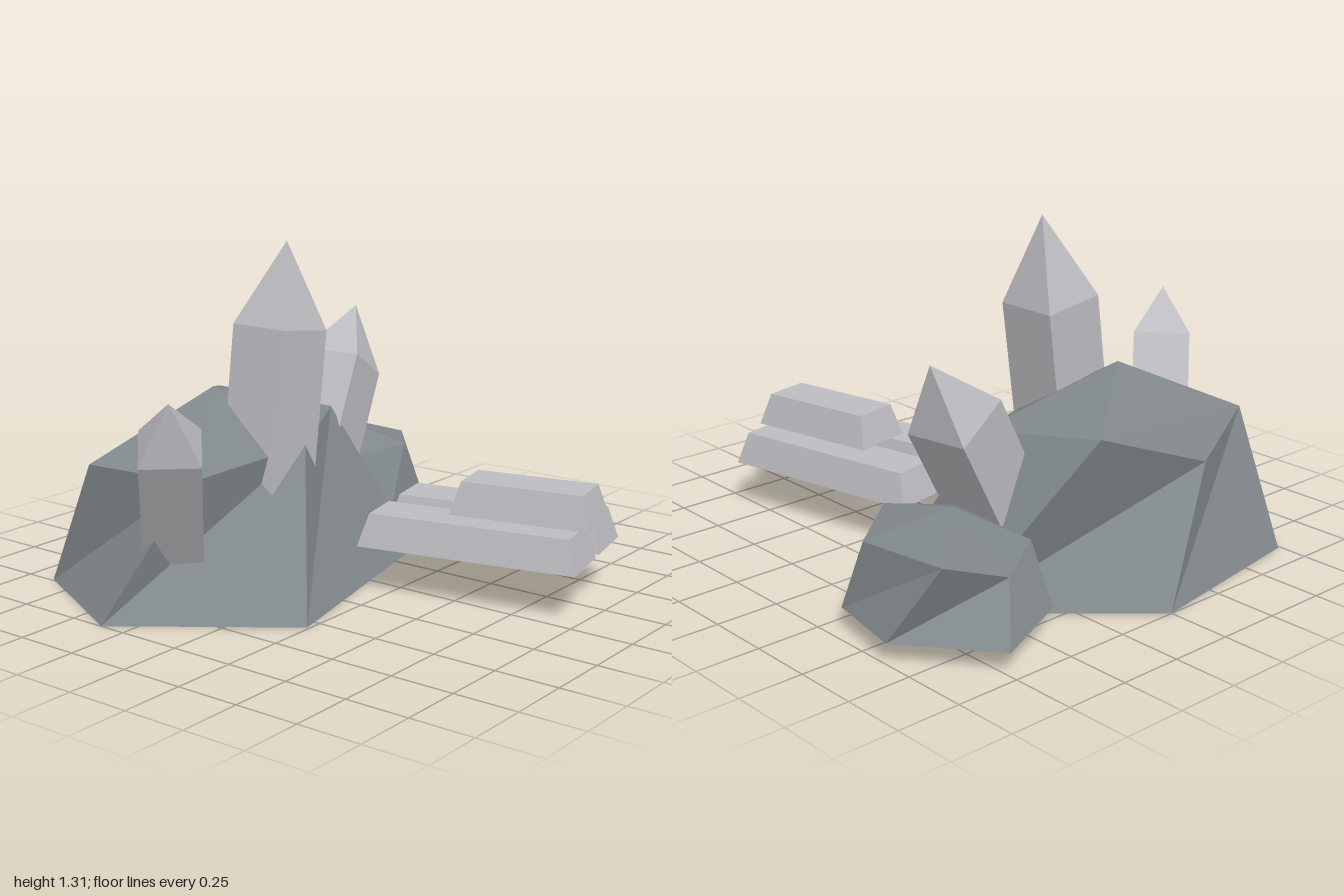
import * as THREE from 'three';

const rockMat = new THREE.MeshStandardMaterial({ color: 0x80878a, flatShading: true });
rockMat.name = 'slate rock';
const paleMat = new THREE.MeshStandardMaterial({ color: 0xbcbcc1, flatShading: true });
paleMat.name = 'pale stone';

// Faceted boulder: corners by letter, faces as letter triples, turned to face outward
function rock(name, corners, faces) {
  const pts = {};
  const centre = new THREE.Vector3();
  for (const k in corners) {
    pts[k] = new THREE.Vector3(...corners[k]);
    centre.add(pts[k]);
  }
  centre.divideScalar(Object.keys(pts).length);
  const out = [];
  for (const face of faces.split(' ')) {
    const [a, b, c] = [...face].map((k) => pts[k]);
    const n = b.clone().sub(a).cross(c.clone().sub(a));
    const outward = n.dot(a.clone().add(b).add(c).divideScalar(3).sub(centre)) > 0;
    out.push(...(outward ? [a, b, c] : [a, c, b]));
  }
  const geo = new THREE.BufferGeometry().setFromPoints(out);
  geo.computeVertexNormals();
  const mesh = new THREE.Mesh(geo, rockMat);
  mesh.name = name;
  return mesh;
}

// Four-sided pointed crystal, placed by the centre of its shoulder, its axis and one side direction
function crystal(name, shoulder, axis, side, width, depth, tip, length) {
  const r = Math.SQRT1_2;
  const profile = [[0, -length], [r, -length], [r, 0], [0, tip]].map((p) => new THREE.Vector2(...p));
  const geo = new THREE.LatheGeometry(profile, 4);
  geo.rotateY(Math.PI / 4);
  geo.scale(width, 1, depth);
  const y = new THREE.Vector3(...axis).normalize();
  const z = new THREE.Vector3(...side).cross(y).normalize();
  const x = y.clone().cross(z);
  geo.applyMatrix4(new THREE.Matrix4().makeBasis(x, y, z).setPosition(...shoulder));
  const mesh = new THREE.Mesh(geo, paleMat);
  mesh.name = name;
  return mesh;
}

// Ingot-shaped bar: a box drawn in at the top
function bar(name, x, y, z, length) {
  const geo = new THREE.BoxGeometry(0.25, 0.126, length);
  const p = geo.attributes.position;
  for (let i = 0; i < p.count; i++) {
    if (p.getY(i) < 0) continue;
    p.setX(i, p.getX(i) - Math.sign(p.getX(i)) * 0.033);
    p.setZ(i, p.getZ(i) - Math.sign(p.getZ(i)) * 0.036);
  }
  geo.computeVertexNormals();
  const mesh = new THREE.Mesh(geo, paleMat);
  mesh.name = name;
  mesh.position.set(x, y, z);
  mesh.rotation.y = 0.213;
  return mesh;
}

export function createModel() {
  const model = new THREE.Group();
  model.name = 'crystalRocks';

  // Large boulder: A-F on the ground, the rest above
  model.add(rock('largeRock', {
    A: [-1, 0, -0.36], B: [-0.56, 0, 0.24], C: [0.45, 0, 0],
    D: [0.57, 0, -0.49], E: [0, 0, -1], F: [-0.74, 0, -0.88],
    G: [-0.67, 0.49, -0.21], H: [-0.77, 0.51, -0.63], L: [-0.35, 0.44, -0.83],
    K: [0.15, 0.63, -0.78], N: [0.3, 0.58, -0.32],
    P: [-0.13, 0.535, -0.11], Q: [-0.28, 0.75, -0.44],
  }, 'QHK HLK QKN QNP QPG QGH ABP AGP AGF FGH FEH EHL ELD KLD KND NCD BCN BPN ABC ACD ADE AEF'));

  // Small boulder: a-f underside, the rest above
  model.add(rock('smallRock', {
    a: [1, 0.077, -0.63], b: [0.94, 0.077, -0.31], c: [0.49, 0.077, -0.16],
    d: [0.4, 0.077, -0.5], e: [0.39, 0.077, -0.8], f: [0.74, 0.077, -0.96],
    S: [0.63, 0.44, -0.54], T: [0.87, 0.355, -0.77], U: [0.58, 0.24, -0.78],
    V: [0.35, 0.27, -0.64], Y: [0.43, 0.33, -0.33], W: [0.67, 0.365, -0.215], X: [0.91, 0.345, -0.4],
  }, 'STU SUV SVY SYW SWX SXT XbT baT TaU afU Ufe UeV Ved VdY Ydc YcW WcX cbX abc acd ade aef'));

  // Crystals
  model.add(crystal('middleCrystal', [-0.12, 0.98, -0.238], [0.137, 0.99, 0], [1, -0.138, 0], 0.252, 0.255, 0.33, 0.72));
  model.add(crystal('rightCrystal', [-0.845, 0.66, -0.145], [-0.387, 0.852, 0.352], [0.673, 0, 0.74], 0.223, 0.193, 0.223, 0.6));
  model.add(crystal('leftCrystal', [0.53, 0.715, -0.44], [0.5, 0.86, -0.09], [0.18, 0, 0.984], 0.249, 0.24, 0.255, 0.54));

  // Stack of bars
  model.add(bar('rightBar', 0.0625, 0.248, 0.5475, 0.86));
  model.add(bar('leftBar', 0.345, 0.248, 0.486, 0.86));
  model.add(bar('topBar', 0.236, 0.374, 0.672, 0.55));
  return model;
}
